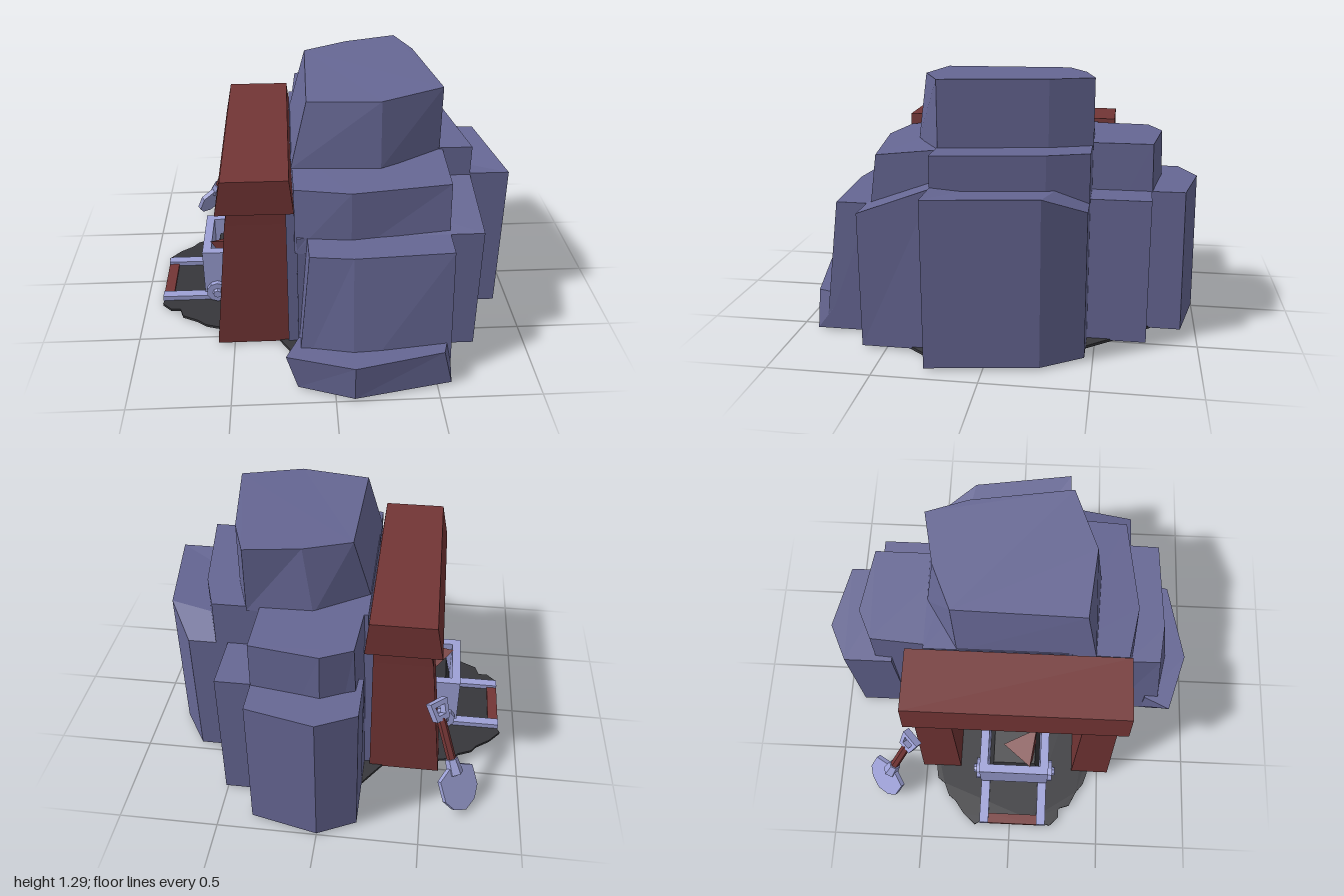
import * as THREE from 'three';

const mat = (name, color, extra = {}) => {
  const m = new THREE.MeshStandardMaterial({ color, flatShading: true, ...extra });
  m.name = name;
  return m;
};

// Solid between two matching outlines; points are [x, z, y]
function loft(bottom, top) {
  const flat = bottom.map(p => new THREE.Vector2(p[0], p[1]));
  if (THREE.ShapeUtils.area(flat) < 0) { bottom = [...bottom].reverse(); top = [...top].reverse(); flat.reverse(); }
  const pos = [];
  const tri = (...pts) => pts.forEach(p => pos.push(p[0], p[2], p[1]));
  bottom.forEach((a, i) => {
    const j = (i + 1) % bottom.length, b = bottom[j];
    tri(a, top[i], b);
    tri(b, top[i], top[j]);
  });
  for (const [a, b, c] of THREE.ShapeUtils.triangulateShape(flat, [])) {
    tri(bottom[a], bottom[b], bottom[c]);
    tri(top[a], top[c], top[b]);
  }
  const g = new THREE.BufferGeometry();
  g.setAttribute('position', new THREE.Float32BufferAttribute(pos, 3));
  g.computeVertexNormals();
  return g;
}

const atY = (pts, y) => pts.map(p => [p[0], p[1], p[2] ?? y]);
const rect = (x0, x1, z0, z1) => [[x0, z0], [x1, z0], [x1, z1], [x0, z1]];

export function createModel() {
  const model = new THREE.Group();
  model.name = 'mineEntrance';
  const rock = mat('rock', 0x666794);
  const wood = mat('wood', 0x733535);
  const metal = mat('metal', 0x9da1d6);
  const dark = mat('darkEarth', 0x36363a);

  const add = (name, geo, material, parent = model) => {
    const m = new THREE.Mesh(geo, material);
    m.name = name;
    parent.add(m);
    return m;
  };
  const box = (name, x0, x1, y0, y1, z0, z1, material, parent) => {
    const g = new THREE.BoxGeometry(x1 - x0, y1 - y0, z1 - z0);
    g.translate((x0 + x1) / 2, (y0 + y1) / 2, (z0 + z1) / 2);
    return add(name, g, material, parent);
  };
  const block = (name, y0, y1, bottom, top = bottom, material = rock, parent = model) =>
    add(name, loft(bottom.map(p => [p[0], p[1], y0]), atY(top, y1)), material, parent);

  // Stepped rock mass
  block('rockPeak', 0.95, 1.295,
    [[-.19, -.29], [.075, -.46], [.4, -.465], [.475, -.255], [.555, .265], [.245, .43], [-.19, .41]],
    [[-.1, -.31, 1.275], [.13, -.41, 1.285], [.4, -.465], [.475, -.255], [.555, .265], [.245, .385, 1.28], [-.11, .345, 1.27]]);
  block('rockShoulder', 0.6, 0.97, [[-.19, -.46], [.57, -.46], [.64, -.26], [.72, .27], [-.19, .27]]);
  block('rockFrontShoulder', 0.6, 0.97,
    [[-.19, .2], [.57, .2], [.57, .61], [.09, .65], [-.18, .62]],
    [[-.19, .2], [.57, .2], [.57, .565, .93], [.09, .63, .93], [-.18, .58, .93]]);
  block('rockBody', 0.01, 0.82,
    [[-.19, -.46], [.71, -.46], [.84, -.26], [.92, .27], [-.19, .27]],
    [[-.19, -.46, .73], [.71, -.46, .73], [.84, -.26], [.92, .27], [-.19, .27]]);
  block('rockFrontSide', 0.01, 0.82, rect(-.17, .735, .25, .62),
    [[-.17, .25], [.72, .25], [.735, .62, .685], [-.17, .62, .685]]);
  block('rockFront', 0.01, 0.685,
    [[-.17, .6], [.57, .6], [.57, .86], [.09, .915], [-.18, .86]],
    [[-.12, .6], [.57, .6], [.565, .775], [.09, .8], [-.115, .775]]);
  block('rockFrontLedge', 0.01, 0.2,
    [[-.17, .76], [.57, .76], [.57, .905], [.09, .995], [-.18, .9]],
    [[-.17, .76], [.57, .76], [.525, .905], [.09, 1], [-.235, .9]]);
  block('rockBack', 0.01, 0.97,
    [[-.19, -.3], [.335, -.3], [.335, -.77], [0, -.83], [-.19, -.76]],
    [[-.18, -.3], [.335, -.3], [.335, -.75], [0, -.8], [-.15, -.73]]);
  block('rockBackLedge', 0.01, 0.735,
    [[-.19, -.65], [.335, -.65], [.335, -.925], [0, -1], [-.19, -.91]],
    [[-.19, -.65], [.335, -.65], [.335, -.915], [0, -.99], [-.19, -.9]]);
  block('rockBackSide', 0.01, 0.735, rect(.2, .51, -.75, -.4));
  block('rockEntranceWall', 0.01, 0.8, rect(-.22, -.1, -.5, .57));

  // Dark tunnel mouth and ragged ground
  box('tunnelMouth', -.229, -.221, .01, .8, -.31, .36, dark);
  const ground = [[.3, -.8], [-.1, -.78], [-.3, -.5], [-.6, -.44], [-.66, -.43], [-.69, -.39], [-.76, -.36], [-.79, -.32],
    [-.86, -.27], [-.92, -.2], [-.88, -.13], [-.9, 0], [-.88, .12], [-.91, .23], [-.86, .28], [-.81, .28], [-.79, .34],
    [-.71, .38], [-.66, .42], [-.6, .44], [-.3, .5], [-.15, .75], [.1, .86], [.5, .8], [.6, .55], [.85, .22], [.65, -.4], [.45, -.65]];
  block('ground', 0.004, 0.018, ground, ground, dark);

  // Timber frame: tapered posts, lintel and diagonal braces
  for (const [z0, z1, inner] of [[-.52, -.3, 1], [.35, .56, -1]]) {
    const t = .015;
    block('post', 0.01, 0.72, rect(-.585, -.22, z0, z1), rect(-.515, -.22, z0 + t, z1 - t), wood);
    block('postTop', 0.72, 0.82, rect(-.515, -.22, z0 + t, z1 - t), rect(-.495, -.22, z0 + t, z1 - t), wood);
    const zi = inner > 0 ? z1 - t : z0 + t;
    const s = new THREE.Shape([[0, .81], [0, .62], [.03, .62], [.16, .75], [.16, .81]].map(p => new THREE.Vector2(...p)));
    const g = new THREE.ExtrudeGeometry(s, { depth: .12, bevelEnabled: false });
    g.translate(0, 0, -.06);
    const brace = add('brace', g, wood);
    brace.rotation.y = -inner * Math.PI / 2;
    brace.position.set(-.38, 0, zi - inner * .01);
  }
  block('lintel', 0.805, 0.985, rect(-.555, -.18, -.55, .59), rect(-.52, -.2, -.55, .59), wood);

  // Track
  const track = new THREE.Group();
  track.name = 'track';
  model.add(track);
  for (const z of [-.148, .178]) box('rail', -.91, .36, 0, .045, z - .025, z + .025, metal, track);
  for (let i = 0; i < 5; i++) {
    const x = -.91 + i * .3;
    box('sleeper', x, x + .055, .001, .03, -.125, .155, wood, track);
  }

  // Mine cart with load
  const cart = new THREE.Group();
  cart.name = 'cart';
  model.add(cart);
  const [x0, x1, z0, z1, w] = [-.675, -.2, -.175, .205, .045];
  box('cartFloor', x0, x1, .07, .11, z0, z1, metal, cart);
  for (const x of [x0, x1 - w]) box('cartEnd', x, x + w, .07, .33, z0, z1, metal, cart);
  for (const z of [z0, z1 - w]) box('cartSide', x0, x1, .07, .33, z, z + w, metal, cart);
  block('cartLoad', .1, .27, rect(x0 + w, x1 - w, z0 + w, z1 - w),
    [[-.6, -.1, .25], [-.27, -.1, .29], [-.27, .13, .29], [-.6, .13, .25]], dark, cart);
  const chunk = add('cartOre', new THREE.TetrahedronGeometry(.13), wood, cart);
  chunk.position.set(-.52, .28, .08);
  chunk.rotation.set(.4, .7, .2);
  for (const x of [-.605, -.27]) {
    for (const [z, side] of [[z0, -1], [z1, 1]]) {
      const wheel = add('wheel', new THREE.CylinderGeometry(.06, .06, .03, 10), metal, cart);
      wheel.rotation.x = Math.PI / 2;
      wheel.position.set(x, .085, z + side * .012);
      const hub = add('wheelHub', new THREE.CylinderGeometry(.022, .028, .02, 8), metal, cart);
      hub.rotation.x = side * Math.PI / 2;
      hub.position.set(x, .085, z + side * .034);
    }
  }

  // Shovel leaning on the back post, built along its own y axis from the tip
  const shovel = new THREE.Group();
  shovel.name = 'shovel';
  model.add(shovel);
  const tip = new THREE.Vector3(-.725, .015, -.765), end = new THREE.Vector3(-.545, .52, -.535);
  const yAxis = end.clone().sub(tip).normalize();
  const xAxis = new THREE.Vector3(-1, 0, 1).cross(yAxis).cross(yAxis).normalize();
  const out = new THREE.Vector3(-1, .5, -1);
  xAxis.crossVectors(yAxis, out).normalize();
  const zAxis = new THREE.Vector3().crossVectors(xAxis, yAxis);
  shovel.quaternion.setFromRotationMatrix(new THREE.Matrix4().makeBasis(xAxis, yAxis, zAxis));
  shovel.position.copy(tip);
  const outline = [[0, 0], [.07, .03], [.11, .09], [.11, .2], [.04, .235], [-.04, .235], [-.11, .2], [-.11, .09], [-.07, .03]];
  const blade = new THREE.ExtrudeGeometry(new THREE.Shape(outline.map(p => new THREE.Vector2(...p))), { depth: .025, bevelEnabled: false });
  blade.translate(0, 0, -.012);
  add('shovelBlade', blade, metal, shovel);
  const rod = (name, r0, r1, y0, y1, m) => {
    const g = new THREE.CylinderGeometry(r1, r0, y1 - y0, 6);
    g.translate(0, (y0 + y1) / 2, 0);
    add(name, g, m, shovel);
  };
  rod('shovelSocket', .042, .032, .2, .28, metal);
  rod('shovelHandle', .024, .024, .26, .5, wood);
  const ring = new THREE.Shape([[-.04, .49], [.04, .49], [.055, .59], [-.055, .59]].map(p => new THREE.Vector2(...p)));
  ring.holes.push(new THREE.Path([[-.022, .517], [-.03, .565], [.03, .565], [.022, .517]].map(p => new THREE.Vector2(...p))));
  const grip = new THREE.ExtrudeGeometry(ring, { depth: .04, bevelEnabled: false });
  grip.translate(0, 0, -.02);
  add('shovelGrip', grip, metal, shovel);

  return model;
}
